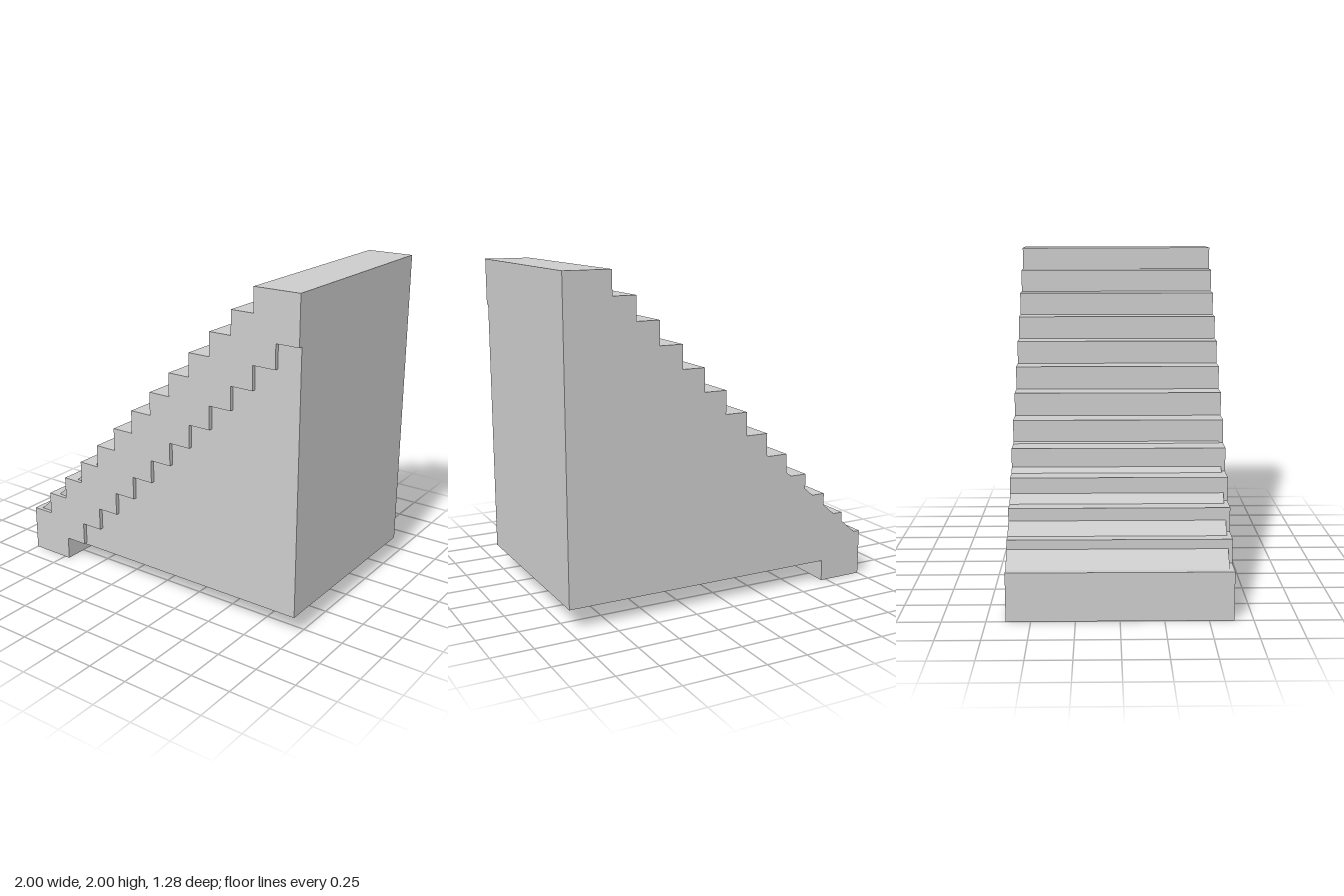
import * as THREE from 'three';

const STEPS = 13;
const RISE = 1 / 7; // each step is as deep as it is high
const HALF_WIDTH = 0.64;

// Extrude a side outline (x, y) between two z positions
function prism(name, points, zBack, zFront, material) {
  const shape = new THREE.Shape(points.map(([x, y]) => new THREE.Vector2(x, y)));
  const geometry = new THREE.ExtrudeGeometry(shape, { depth: zFront - zBack, bevelEnabled: false });
  geometry.translate(0, 0, zBack);
  const mesh = new THREE.Mesh(geometry, material);
  mesh.name = name;
  return mesh;
}

export function createModel() {
  const group = new THREE.Group();
  group.name = 'staircase';
  const material = new THREE.MeshStandardMaterial({ color: 0xcccccc, flatShading: true });

  // Stepped flight: zigzag underside going up, then treads and risers coming down
  const outline = [[-1, 0]];
  for (let i = 0; i < STEPS; i++) {
    const x = -1 + (i + 2) * RISE;
    outline.push([x, i * RISE], [x, (i + 1) * RISE]);
  }
  outline.push([1, 2]);
  for (let i = STEPS - 1; i >= 0; i--) {
    const x = -1 + i * RISE;
    const top = (i + 2) * RISE;
    if (i < STEPS - 1) outline.push([x + RISE, top]);
    outline.push([x, top]);
  }
  group.add(prism('steps', outline, -HALF_WIDTH, HALF_WIDTH, material));

  // Solid wedge under the flight, slightly inset at the front,
  // its slope showing above the lowest treads
  const wedge = [[-0.96, 0.13], [1, 0.13], [1, 1.98], [-0.96, 0.284]];
  group.add(prism('supportWedge', wedge, -HALF_WIDTH, 0.615, material));

  return group;
}
